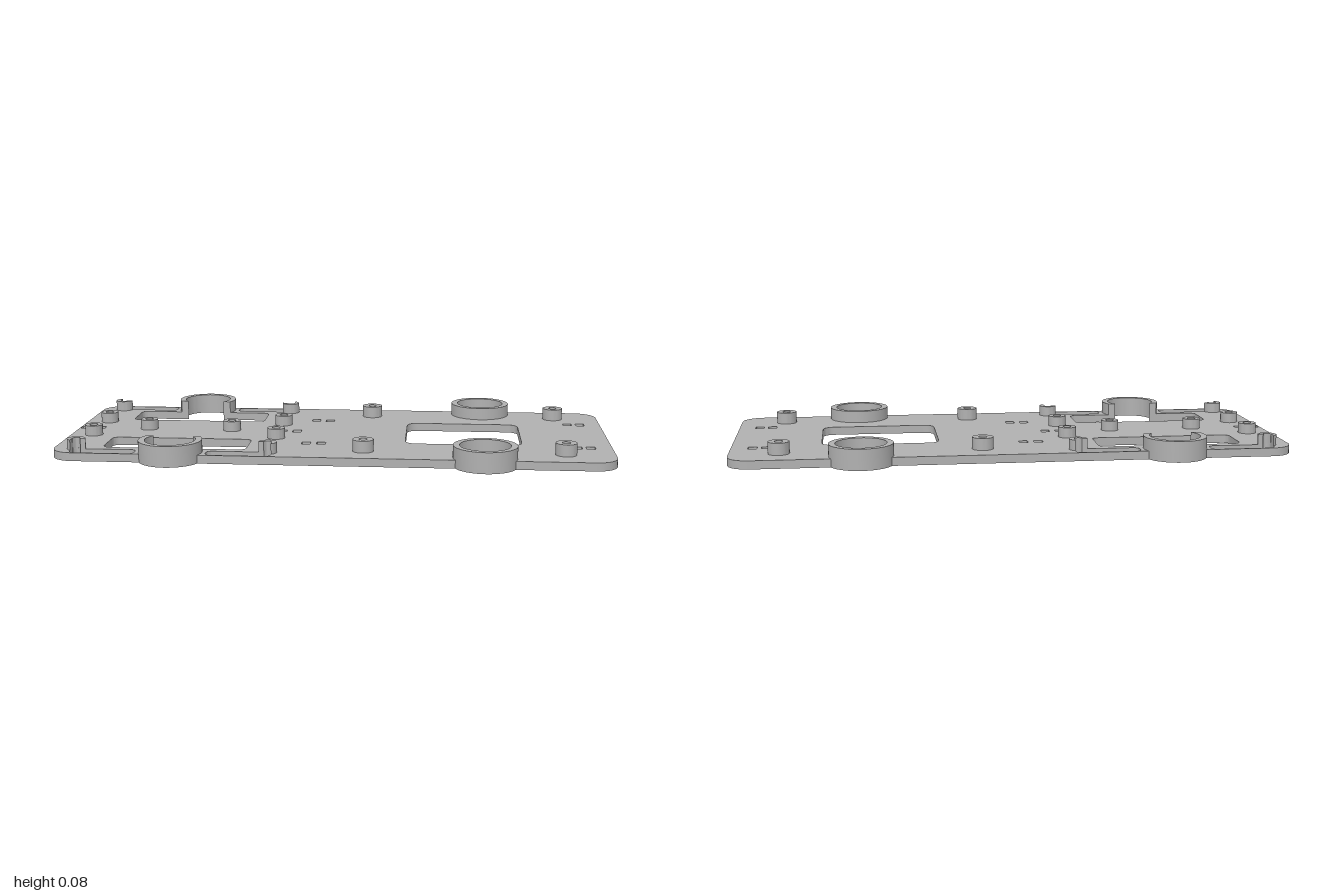
import * as THREE from 'three';
import { toCreasedNormals } from 'three/addons/utils/BufferGeometryUtils.js';

const PI = Math.PI;
const PLATE = 0.03, HALF_W = 0.418;
const RING_Z = 0.374, RING_OUT = 0.113, RING_IN = 0.09, NOTCH = 0.1, RING_H = 0.075;
const LEFT_X = -0.57, RIGHT_X = 0.54;
const BAY_Z = 0.32; // outer edge of the two long bays
const POST_R = 0.033, HOLE_R = 0.015, SLOT_Z = 0.353;

const grey = new THREE.MeshStandardMaterial({ color: 0xb0b0b0 });
grey.name = 'grey plastic';

// Points along an arc in plan (x, z)
function arc(cx, cz, r, a0, a1, n = 8) {
  return Array.from({ length: n + 1 }, (_, i) => {
    const a = a0 + (a1 - a0) * i / n;
    return new THREE.Vector2(cx + r * Math.cos(a), cz + r * Math.sin(a));
  });
}

const circle = (x, z, r, n = 32) => arc(x, z, r, 0, 2 * PI, n).slice(0, -1);

function roundRect(x0, x1, z0, z1, r, n = 6) {
  return [
    ...arc(x1 - r, z1 - r, r, 0, PI / 2, n), ...arc(x0 + r, z1 - r, r, PI / 2, PI, n),
    ...arc(x0 + r, z0 + r, r, PI, 1.5 * PI, n), ...arc(x1 - r, z0 + r, r, 1.5 * PI, 2 * PI, n),
  ];
}

const place = (points, px, d, s) => points.map(p => new THREE.Vector2(px + d * p.x, s * p.y));

// Upright extrusion of a plan outline
function slab(name, outline, holes, y, height) {
  const shape = new THREE.Shape(outline);
  shape.holes = holes.map(h => new THREE.Path(h));
  const geo = new THREE.ExtrudeGeometry(shape, { depth: height, bevelEnabled: false });
  geo.rotateX(PI / 2).translate(0, y + height, 0);
  const mesh = new THREE.Mesh(toCreasedNormals(geo, 0.6), grey);
  mesh.name = name;
  return mesh;
}

// One long edge of the plate, with the bay and ring openings cut into it
function plateEdge() {
  const a = Math.asin((HALF_W - RING_Z) / NOTCH);
  const b = Math.asin((RING_Z - BAY_Z) / NOTCH);
  const r = 0.08, q = 0.025;
  return [
    ...arc(-1 + r, -HALF_W + r, r, PI, 1.5 * PI),
    ...arc(LEFT_X, -RING_Z, NOTCH, PI + a, PI - b),
    ...arc(-0.83 + q, -BAY_Z + q, q, -PI / 2, -PI),
    ...arc(-0.83 + q, -0.157 - q, q, PI, PI / 2),
    ...arc(-0.31 - q, -0.157 - q, q, PI / 2, 0),
    ...arc(-0.31 - q, -BAY_Z + q, q, 0, -PI / 2),
    ...arc(LEFT_X, -RING_Z, NOTCH, b, -a),
    ...arc(RIGHT_X, -RING_Z, NOTCH, PI + a, -a, 24),
    ...arc(1 - r, -HALF_W + r, r, -PI / 2, 0),
  ];
}

export function createModel() {
  const group = new THREE.Group();
  group.name = 'chassisPlate';
  const holes = [roundRect(0.255, 0.68, -0.175, 0.175, 0.04)];

  // Round standoffs with a through hole
  const standoff = (x, z, r, h) => {
    holes.push(circle(x, z, HOLE_R, 20));
    group.add(slab('standoff', circle(x, z, r), [circle(x, z, HOLE_R, 20)], PLATE, h - PLATE));
  };
  for (const x of [-0.73, -0.41]) standoff(x, 0, POST_R, 0.068);

  // Small square tie holes
  const tieHole = (x, z) =>
    holes.push(roundRect(x - 0.0165, x + 0.0165, z - 0.0165, z + 0.0165, 0.004, 2));
  for (const x of [-0.98, -0.92, -0.215, -0.16]) tieHole(x, 0);

  // Edge slot merging with half of a standoff hole
  const slot = [
    new THREE.Vector2(-0.015, SLOT_Z),
    ...arc(0, SLOT_Z, 0.014, PI, 2 * PI),
    ...arc(0.1975, SLOT_Z + 0.02, 0.02, -PI / 2, 0),
    ...arc(0.1975, 0.391, 0.02, 0, PI / 2),
    ...arc(0.005, 0.391, 0.02, PI / 2, PI),
  ];
  // Standoff left over beside the slot
  const cut = Math.acos(0.015 / POST_R);
  const cutPost = [
    ...arc(0, SLOT_Z, POST_R, 0, -PI, 20),
    ...arc(0, SLOT_Z, 0.014, -PI, 0, 12),
    new THREE.Vector2(0.015, SLOT_Z),
    ...arc(0, SLOT_Z, POST_R, cut, 0),
  ].slice(0, -1);

  // Ring opened where it meets the bay
  const outA = Math.asin((RING_Z - BAY_Z) / RING_OUT);
  const inA = Math.asin((RING_Z - BAY_Z) / RING_IN);
  const openRing = [
    ...arc(0, RING_Z, RING_OUT, -outA, PI + outA, 40),
    ...arc(0, RING_Z, RING_IN, PI + inA, -inA, 40),
  ];

  for (const s of [-1, 1]) {
    for (const x of [0.11, 0.825]) standoff(x, s * 0.303, 0.038, 0.073);
    for (const x of [-0.915, -0.225]) standoff(x, s * 0.117, POST_R, 0.068);
    for (const x of [-0.105, -0.05, 0.875, 0.923]) tieHole(x, s * 0.197);

    for (const [x, d] of [[-0.915, 1], [-0.225, -1]]) {
      holes.push(place(slot, x, d, s));
      group.add(slab('cutStandoff', place(cutPost, x, -d, s), [], PLATE, 0.068 - PLATE));
    }
    group.add(slab('openRing', place(openRing, LEFT_X, 1, s), [], 0, RING_H));
    group.add(slab('fullRing', circle(RIGHT_X, s * RING_Z, RING_OUT, 48),
      [circle(RIGHT_X, s * RING_Z, RING_IN, 48)], 0, RING_H));
  }

  // Base plate: one edge plus its mirror image
  const edge = plateEdge();
  const outline = [...edge, ...place(edge, 0, 1, -1).reverse()];
  group.add(slab('basePlate', outline, holes, 0, PLATE));
  return group;
}
